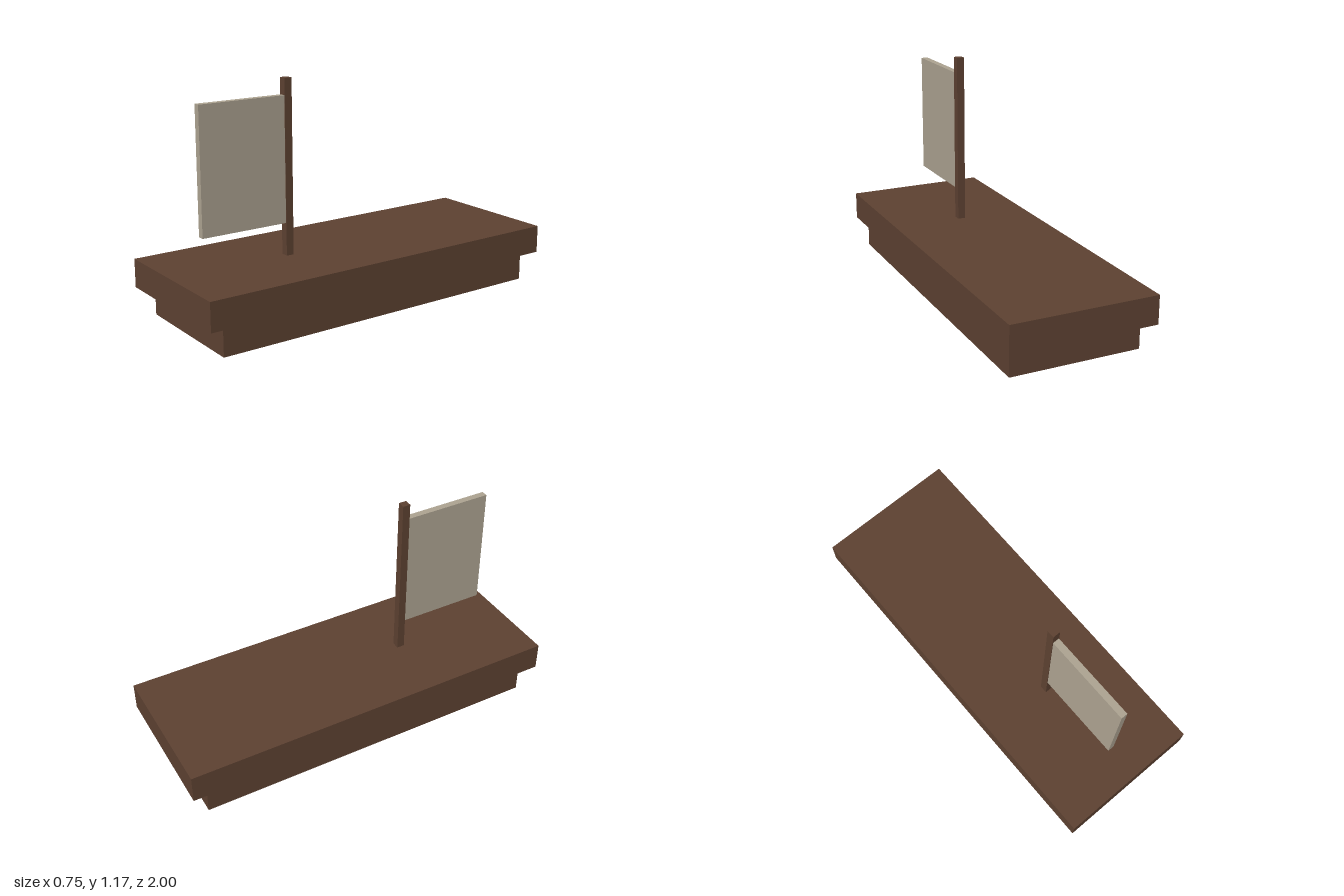
import * as THREE from 'three';

export function createModel() {
  const model = new THREE.Group();
  model.name = 'sailingRaft';

  const wood = new THREE.MeshStandardMaterial({ color: 0x5e4232 });
  wood.name = 'brown wood';
  const canvas = new THREE.MeshStandardMaterial({ color: 0xaea492 });
  canvas.name = 'beige canvas';

  // Box centred on x = 0, given its width and its y and z ranges
  function addBox(name, material, width, [y0, y1], [z0, z1]) {
    const mesh = new THREE.Mesh(new THREE.BoxGeometry(width, y1 - y0, z1 - z0), material);
    mesh.position.set(0, (y0 + y1) / 2, (z0 + z1) / 2);
    mesh.name = name;
    model.add(mesh);
  }

  addBox('lowerHull', wood, 0.667, [0, 0.147], [-0.917, 0.917]);
  addBox('deck', wood, 0.75, [0.147, 0.292], [-1, 1]);
  addBox('mast', wood, 0.04, [0.292, 1.167], [0.335, 0.375]);
  // The sail reaches forward from the mast
  addBox('sail', canvas, 0.034, [0.458, 1.085], [0.375, 0.834]);

  return model;
}
